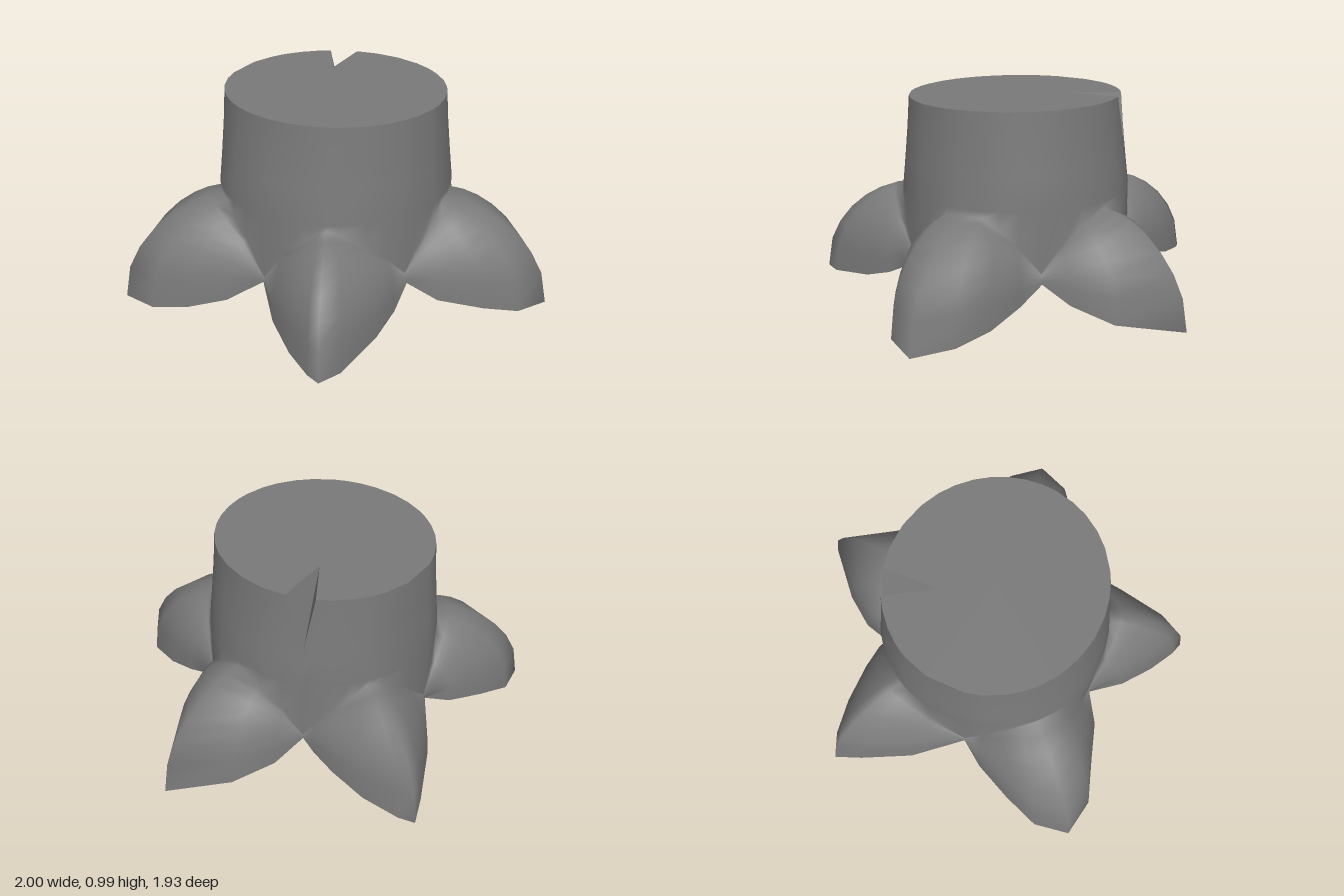
import * as THREE from 'three';

const CX = -0.03, CZ = 0.09, TOP = 0.985, COLLAR = 0.53, R_COLLAR = 0.572;
const NOTCH_Y = 0.72;

// Lower edge of the stump [x, z, y], round the five roots; the first point lies under the notch
const EDGE = [
  [-0.36, -0.37, 0.18],
  // back root
  [-0.33, -0.53, 0.1], [-0.23, -0.72, 0.03], [-0.03, -0.97, 0], [0.18, -0.72, 0.03], [0.27, -0.53, 0.1],
  [0.31, -0.39, 0.18],
  // back left root
  [0.47, -0.4, 0.12], [0.65, -0.39, 0.06], [0.84, -0.36, 0.03], [1, -0.24, 0], [0.95, -0.06, 0.02],
  [0.83, 0.06, 0.05], [0.66, 0.2, 0.1],
  [0.53, 0.27, 0.18],
  // front left root
  [0.56, 0.41, 0.11], [0.575, 0.57, 0.06], [0.575, 0.83, 0.02], [0.54, 0.94, 0.015], [0.47, 0.93, 0.02],
  [0.32, 0.875, 0.04], [0.15, 0.79, 0.09],
  [-0.01, 0.67, 0.18],
  // front right root
  [-0.14, 0.79, 0.09], [-0.31, 0.88, 0.03], [-0.47, 0.965, 0.01], [-0.66, 0.96, 0], [-0.72, 0.79, 0.02],
  [-0.69, 0.6, 0.07], [-0.64, 0.4, 0.12],
  [-0.58, 0.27, 0.18],
  // back right root
  [-0.78, 0.07, 0.07], [-0.93, -0.15, 0.03], [-1, -0.27, 0.02], [-0.93, -0.31, 0.03], [-0.75, -0.36, 0.06],
  [-0.57, -0.38, 0.11], [-0.44, -0.38, 0.15],
];

// One vertical profile from the rim down the trunk and over the root to its lower edge
function column([x, z, y], notched) {
  const dx = x - CX, dz = z - CZ, R = Math.hypot(dx, dz);
  const c = dx / R, s = dz / R;
  const at = (r, h) => new THREE.Vector3(CX + c * r, h, CZ + s * r);
  const strength = THREE.MathUtils.clamp((R - 0.585) / 0.4, 0, 1);
  const shoulder = 0.2 + 0.3 * Math.sqrt(strength);
  const start = Math.min(R_COLLAR, R);
  const rim = 1 / Math.hypot(c / 0.54, s / 0.515);
  const top = notched ? NOTCH_Y : TOP;
  const pts = [];
  for (let k = 0; k < 4; k++) {
    const h = THREE.MathUtils.lerp(top, COLLAR, k / 3);
    const t = (TOP - h) / (TOP - COLLAR);
    pts.push(at(THREE.MathUtils.lerp(rim, start, Math.pow(t, 1.2)), h));
  }
  for (const t of [0, 0.15, 0.32, 0.5, 0.68, 0.83, 0.94, 1]) {
    const drop = Math.sqrt(Math.max(0, 1 - Math.pow(t, 1.7)));
    pts.push(at(THREE.MathUtils.lerp(start, R, t), y + (shoulder - y) * drop));
  }
  return pts;
}

function surface(points, index) {
  const g = new THREE.BufferGeometry().setFromPoints(points);
  if (index) g.setIndex(index);
  g.computeVertexNormals();
  return g;
}

export function createModel() {
  const group = new THREE.Group();
  group.name = 'treeStump';
  const wood = new THREE.MeshStandardMaterial({ color: 0x7a7a7a, side: THREE.DoubleSide });
  wood.name = 'greyWood';
  const add = (name, geometry) => {
    const mesh = new THREE.Mesh(geometry, wood);
    mesh.name = name;
    group.add(mesh);
  };

  // Trunk and roots: one smooth skin, open underneath
  const cols = EDGE.map((p, i) => column(p, i === 0));
  const n = cols.length, rows = cols[0].length;
  const index = [];
  for (let i = 0; i < n; i++) {
    const a = i * rows, b = ((i + 1) % n) * rows;
    for (let j = 0; j < rows - 1; j++) {
      index.push(a + j, b + j, b + j + 1, a + j, b + j + 1, a + j + 1);
    }
  }
  add('trunkAndRoots', surface(cols.flat(), index));

  // Flat cut top, running in to the tip of the notch
  const tip = new THREE.Vector3(-0.2, TOP, -0.11);
  const centre = new THREE.Vector3(CX, TOP, CZ);
  const rim = cols.map((col, i) => (i === 0 ? tip : col[0]));
  add('cutTop', surface(rim.flatMap((p, i) => [centre, rim[(i + 1) % n], p])));

  // Two flat faces of the wedge notch
  const low = cols[0][0];
  add('notch', surface([tip, low, cols[n - 1][0], tip, cols[1][0], low]));

  return group;
}
